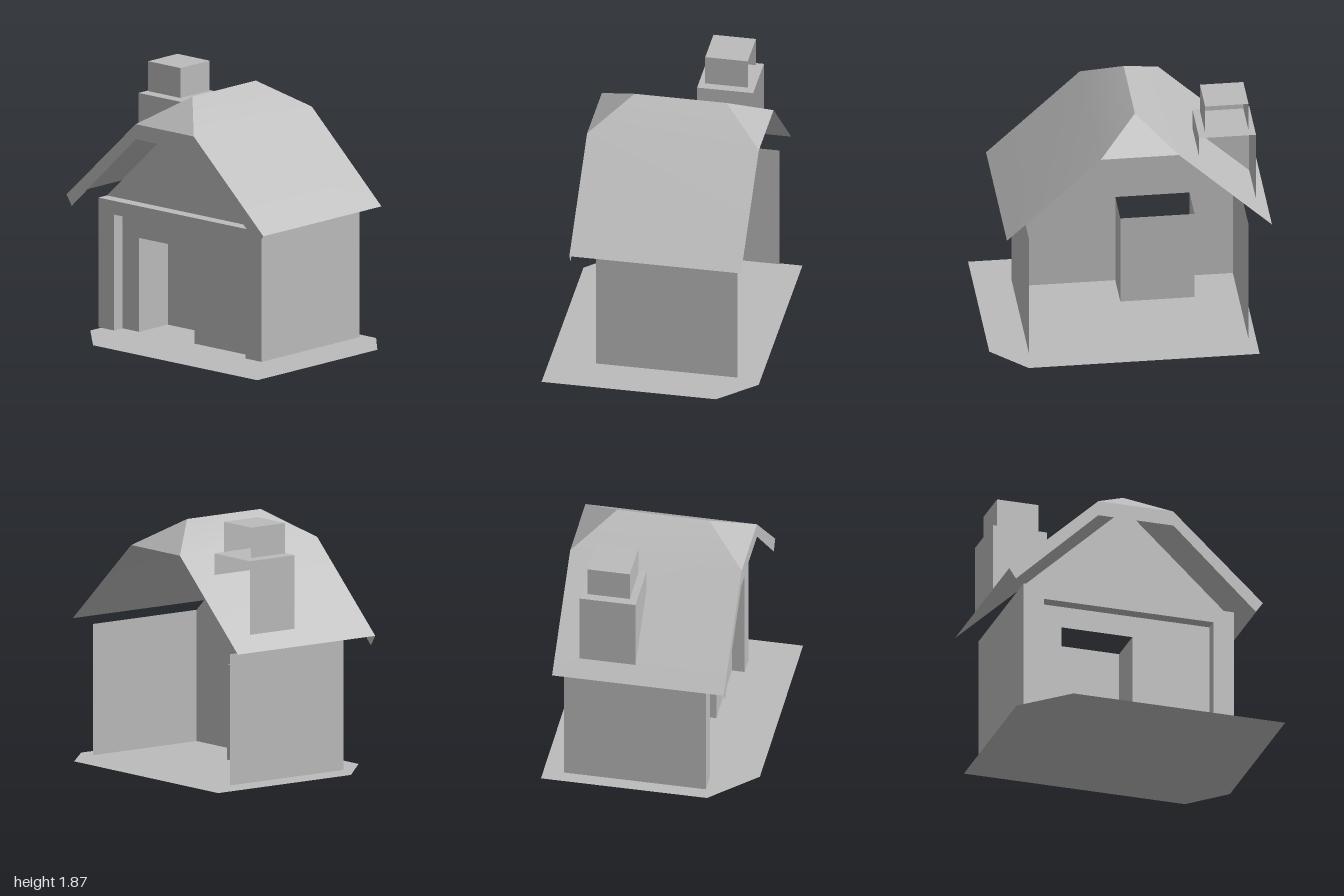
import * as THREE from 'three';

const plaster = new THREE.MeshStandardMaterial({ color: 0xbbbbbb, side: THREE.DoubleSide });
plaster.name = 'plain grey';

function add(parent, name, geometry) {
  const mesh = new THREE.Mesh(geometry, plaster);
  mesh.name = name;
  parent.add(mesh);
  return mesh;
}

// Flat sheet from an outline of [x, y] points, with optional holes, facing +z
function sheet(outline, holes = []) {
  const toPoints = (list) => list.map(([x, y]) => new THREE.Vector2(x, y));
  const shape = new THREE.Shape(toPoints(outline));
  for (const hole of holes) shape.holes.push(new THREE.Path(toPoints(hole)));
  return new THREE.ShapeGeometry(shape);
}

const rect = (x0, y0, x1, y1) => [[x0, y0], [x1, y0], [x1, y1], [x0, y1]];

// Faces sharing the listed corners; normals are smooth inside one call
function faces(corners, index) {
  const g = new THREE.BufferGeometry();
  g.setAttribute('position', new THREE.Float32BufferAttribute(corners.flat(), 3));
  g.setIndex(index);
  g.computeVertexNormals();
  return g;
}

const quad = (a, b, c, d) => faces([a, b, c, d], [0, 1, 2, 0, 2, 3]);

// Upright wall along z at a fixed x; side is +1 to face +x, -1 to face -x
function sideWall(x, y0, y1, z0, z1, side) {
  const c = [[x, y0, z1], [x, y0, z0], [x, y1, z0], [x, y1, z1]];
  return side > 0 ? quad(...c) : quad(...c.reverse());
}

// Horizontal face looking up (or down)
function level(y, x0, x1, z0, z1, up = true) {
  const c = [[x0, y, z1], [x1, y, z1], [x1, y, z0], [x0, y, z0]];
  return up ? quad(...c) : quad(...c.reverse());
}

// Chimney hood open at the back and below; its foot may slope
function hood(parent, name, x0, x1, z0, z1, foot0, foot1, top) {
  const group = new THREE.Group();
  group.name = name;
  add(group, name + 'Front', sheet([[x0, foot0], [x1, foot1], [x1, top], [x0, top]])).position.z = z1;
  add(group, name + 'RightSide', sideWall(x0, foot0, top, z0, z1, -1));
  add(group, name + 'LeftSide', sideWall(x1, foot1, top, z0, z1, 1));
  add(group, name + 'Top', level(top, x0, x1, z0, z1));
  parent.add(group);
}

export function createModel() {
  const house = new THREE.Group();
  house.name = 'house';

  // Ground slab with two clipped corners
  const ground = [[-0.9, 0.76], [-0.9, -0.44], [-0.58, -0.76], [1, -0.76], [1, 0.5], [0.75, 0.76]];
  add(house, 'ground', sheet(ground).rotateX(-Math.PI / 2));

  // Main sizes
  const xR = -0.84, xL = 0.73, mid = -0.055;
  const base = 0.03, wallTop = 0.975;
  const zFrame = 0.42, zWall = 0.33, zBack = -0.605;

  // Side walls; the back stays open
  add(house, 'rightWall', sideWall(xR, base, wallTop, zBack, zFrame, -1));
  add(house, 'leftWall', sideWall(xL, base, wallTop, zBack, zFrame, 1));

  // Front frame around the recessed wall
  const f0 = -0.69, f1 = 0.575, fTop = 0.875;
  add(house, 'frontFrame', sheet([
    [xR, base], [f0, base], [f0, fTop], [f1, fTop], [f1, base], [xL, base], [xL, wallTop], [xR, wallTop],
  ])).position.z = zFrame;
  add(house, 'frameJambRight', sideWall(f0, base, fTop, zWall, zFrame, 1));
  add(house, 'frameJambLeft', sideWall(f1, base, fTop, zWall, zFrame, -1));
  add(house, 'frameLintel', level(fTop, f0, f1, zWall, zFrame, false));
  add(house, 'frameLedge', level(wallTop, xR, xL, zWall, zFrame));

  // Recessed front wall with gable and doorway
  const d0 = -0.53, d1 = 0, dTop = 0.715, zDoor = 0.03;
  add(house, 'frontWall', sheet([
    [xR, base], [d0, base], [d0, dTop], [d1, dTop], [d1, base], [xL, base],
    [xL, wallTop], [mid, 1.71], [xR, wallTop],
  ])).position.z = zWall;
  add(house, 'doorwayRight', sideWall(d0, base, dTop, zDoor, zWall, 1));
  add(house, 'doorwayLeft', sideWall(d1, base, dTop, zDoor, zWall, -1));
  add(house, 'door', sheet(rect(d0, base, d1, dTop))).position.z = zDoor;

  // Windows
  add(house, 'window', sheet(rect(0.08, 0.32, 0.5, 0.74))).position.z = zWall + 0.003;
  add(house, 'gableWindow', sheet(rect(-0.21, 1.09, 0.1, 1.32))).position.z = zWall + 0.003;

  // Roof: two bent slopes and two small hips
  const z0 = -0.66, z1 = 0.58, r0 = -0.375, r1 = 0.29;
  const eave = 1, bend = 1.62, ridge = 1.815;
  for (const [side, eaveX, bendX] of [[-1, -1, -0.335], [1, 0.893, 0.223]]) {
    const corners = [
      [eaveX, eave, z0], [eaveX, eave, z1], [bendX, bend, z1], [bendX, bend, z0],
      [mid, ridge, r1], [mid, ridge, r0],
    ];
    const index = [0, 1, 2, 0, 2, 3, 3, 2, 4, 3, 4, 5];
    add(house, side < 0 ? 'roofRight' : 'roofLeft', faces(corners, side < 0 ? index : index.reverse()));
  }
  add(house, 'frontHip', faces([[-0.335, bend, z1], [0.223, bend, z1], [mid, ridge, r1]], [0, 1, 2]));
  add(house, 'backHip', faces([[0.223, bend, z0], [-0.335, bend, z0], [mid, ridge, r0]], [0, 1, 2]));

  // Board under the front edge of the roof
  add(house, 'bargeboard', sheet([
    [-1, eave], [-0.95, 0.925], [-0.335, 1.51], [0.225, 1.51],
    [0.84, 0.925], [0.893, eave], [0.223, bend], [-0.335, bend],
  ])).position.z = z1;

  // Chimney stack and cap
  hood(house, 'chimneyStack', -0.908, -0.502, -0.48, -0.075, 1.11, 1.485, 1.64);
  hood(house, 'chimneyCap', -0.86, -0.55, -0.432, -0.125, 1.652, 1.652, 1.87);

  return house;
}
